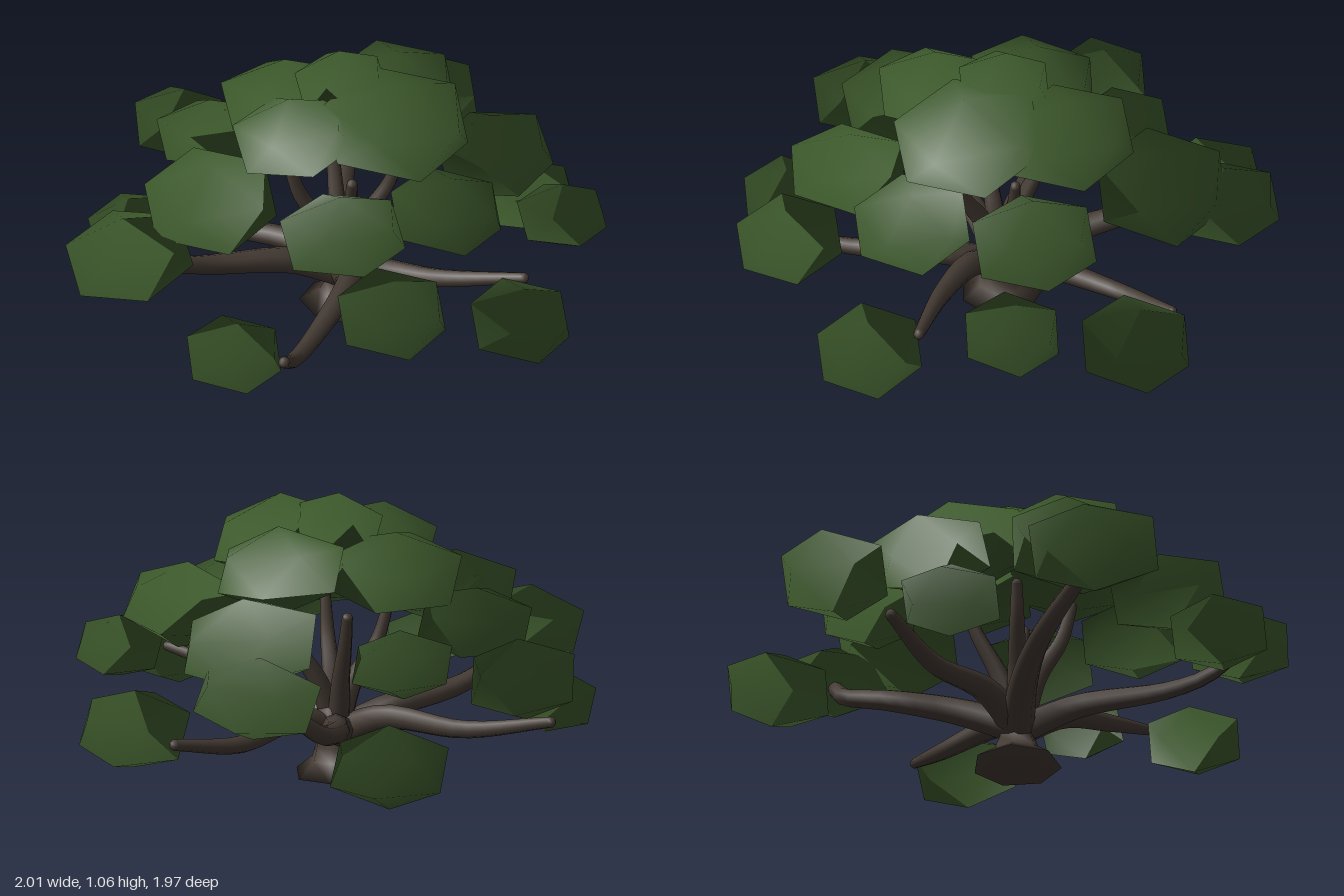
import * as THREE from 'three';

const leafGreen = new THREE.MeshStandardMaterial({ color: 0x3d592c });
leafGreen.name = 'leafGreen';
const barkBrown = new THREE.MeshStandardMaterial({ color: 0x453b34 });
barkBrown.name = 'barkBrown';

// Leaf clumps: x, y, z, radius, half height
const CLUMPS = [
  // crown
  [-0.02, 0.93, -0.02, 0.16, 0.13], [0.23, 0.86, 0, 0.25, 0.165],
  [-0.27, 0.8, -0.02, 0.23, 0.15], [0.03, 0.82, -0.29, 0.22, 0.155],
  [-0.03, 0.84, 0.26, 0.2, 0.145],
  // middle ring
  [-0.07, 0.64, -0.61, 0.23, 0.16], [0.43, 0.65, -0.34, 0.205, 0.16],
  [0.5, 0.64, 0.09, 0.195, 0.13], [0.31, 0.65, 0.44, 0.205, 0.14],
  [-0.22, 0.63, 0.49, 0.225, 0.15], [-0.53, 0.63, 0.1, 0.195, 0.13],
  [-0.48, 0.56, -0.3, 0.17, 0.12],
  // outer ring
  [-0.23, 0.52, -0.79, 0.2, 0.14], [-0.82, 0.51, -0.07, 0.18, 0.145],
  [-0.39, 0.47, 0.74, 0.21, 0.15], [0.58, 0.49, 0.54, 0.18, 0.13],
  [0.7, 0.465, -0.38, 0.16, 0.12],
  // lowest clumps
  [-0.63, 0.31, -0.61, 0.19, 0.14], [0.37, 0.285, -0.7, 0.19, 0.145],
  [0.82, 0.315, 0.1, 0.175, 0.13], [-0.69, 0.305, 0.38, 0.16, 0.125],
  [0.13, 0.305, 0.82, 0.16, 0.12],
];

// Branches: start radius, end radius, path points
const BRANCHES = [
  // low spreading limbs
  [0.055, 0.02, [[-0.02, 0.16, 0], [-0.2, 0.24, 0.03], [-0.5, 0.23, 0.09], [-0.79, 0.28, 0.2]]],
  [0.055, 0.02, [[0, 0.16, 0], [0.13, 0.24, 0.15], [0.22, 0.22, 0.5], [0.26, 0.24, 0.66], [0.31, 0.32, 0.78]]],
  [0.055, 0.02, [[0, 0.16, 0], [0.17, 0.25, 0.03], [0.42, 0.3, 0.02], [0.74, 0.38, -0.05]]],
  [0.055, 0.02, [[0, 0.16, 0], [0.05, 0.24, -0.17], [0.06, 0.23, -0.5], [0.15, 0.28, -0.75]]],
  // rising limbs
  [0.06, 0.025, [[-0.02, 0.16, 0], [-0.14, 0.25, -0.2], [-0.28, 0.31, -0.4], [-0.34, 0.37, -0.6], [-0.28, 0.5, -0.74]]],
  [0.06, 0.025, [[-0.02, 0.16, 0], [-0.14, 0.24, 0.15], [-0.3, 0.29, 0.4], [-0.38, 0.4, 0.68]]],
  // upright limbs
  [0.045, 0.02, [[0, 0.18, 0], [0.04, 0.36, 0.04], [0.1, 0.5, 0.1], [0.13, 0.64, 0.13]]],
  [0.045, 0.02, [[-0.02, 0.18, 0], [-0.06, 0.36, 0.04], [-0.12, 0.5, 0.1], [-0.15, 0.64, 0.13]]],
  [0.045, 0.02, [[0, 0.18, 0], [0.04, 0.36, -0.05], [0.12, 0.53, -0.12], [0.15, 0.64, -0.14]]],
  [0.045, 0.02, [[-0.02, 0.18, 0], [-0.06, 0.36, -0.05], [-0.12, 0.53, -0.11], [-0.15, 0.64, -0.14]]],
];

const vec = (p) => new THREE.Vector3(...p);

// Flattened icosahedron standing on a corner; its normals fan out from the
// middle of the whole canopy so the separate clumps shade as one soft mass
function clumpGeometry([x, y, z, r, h], i) {
  const geo = new THREE.IcosahedronGeometry(1, 0);
  geo.rotateX(-Math.atan((1 + Math.sqrt(5)) / 2));
  geo.rotateY(Math.PI / 2);
  geo.scale(r / 0.875, h, r / 0.875);
  geo.rotateX(0.1 * Math.sin(i * 2.3));
  geo.rotateZ(0.1 * Math.cos(i * 3.1));
  geo.translate(x, y, z);
  const p = geo.attributes.position;
  const n = new THREE.Vector3();
  for (let k = 0; k < p.count; k++) {
    n.fromBufferAttribute(p, k).sub(vec([0, 0.41, 0])).normalize();
    geo.attributes.normal.setXYZ(k, n.x, n.y, n.z);
  }
  return geo;
}

// Tube narrowed evenly from one end to the other
function branchGeometry(r0, r1, points) {
  const segments = 14, sides = 8;
  const curve = new THREE.CatmullRomCurve3(points.map(vec));
  const geo = new THREE.TubeGeometry(curve, segments, 1, sides);
  const p = geo.attributes.position;
  const v = new THREE.Vector3();
  for (let k = 0; k < p.count; k++) {
    const t = Math.floor(k / (sides + 1)) / segments;
    const c = curve.getPointAt(t);
    v.fromBufferAttribute(p, k).sub(c).multiplyScalar(r0 + (r1 - r0) * t).add(c);
    p.setXYZ(k, v.x, v.y, v.z);
  }
  return geo;
}

export function createModel() {
  const tree = new THREE.Group();
  tree.name = 'tree';
  const add = (parent, name, geo, mat) => {
    const mesh = new THREE.Mesh(geo, mat);
    mesh.name = name;
    parent.add(mesh);
    return mesh;
  };

  // Trunk with flared root, leaning slightly
  const profile = [[0, 0], [0.16, 0], [0.09, 0.05], [0.07, 0.1], [0.058, 0.17], [0.045, 0.24], [0, 0.26]];
  const trunk = new THREE.LatheGeometry(profile.map(([r, y]) => new THREE.Vector2(r, y)), 7);
  const trunkMesh = add(tree, 'trunk', trunk, barkBrown);
  trunkMesh.position.set(-0.015, 0.018, -0.01);
  trunkMesh.rotation.set(-0.08, 0, -0.08);

  // Branches with rounded tips
  const branches = new THREE.Group();
  branches.name = 'branches';
  for (const [r0, r1, points] of BRANCHES) {
    add(branches, 'branch', branchGeometry(r0, r1, points), barkBrown);
    add(branches, 'branchTip', new THREE.SphereGeometry(r1, 8, 6), barkBrown)
      .position.copy(vec(points[points.length - 1]));
  }
  tree.add(branches);

  // Leaf canopy
  const canopy = new THREE.Group();
  canopy.name = 'canopy';
  CLUMPS.forEach((c, i) => add(canopy, 'leafClump', clumpGeometry(c, i), leafGreen));
  tree.add(canopy);
  return tree;
}
